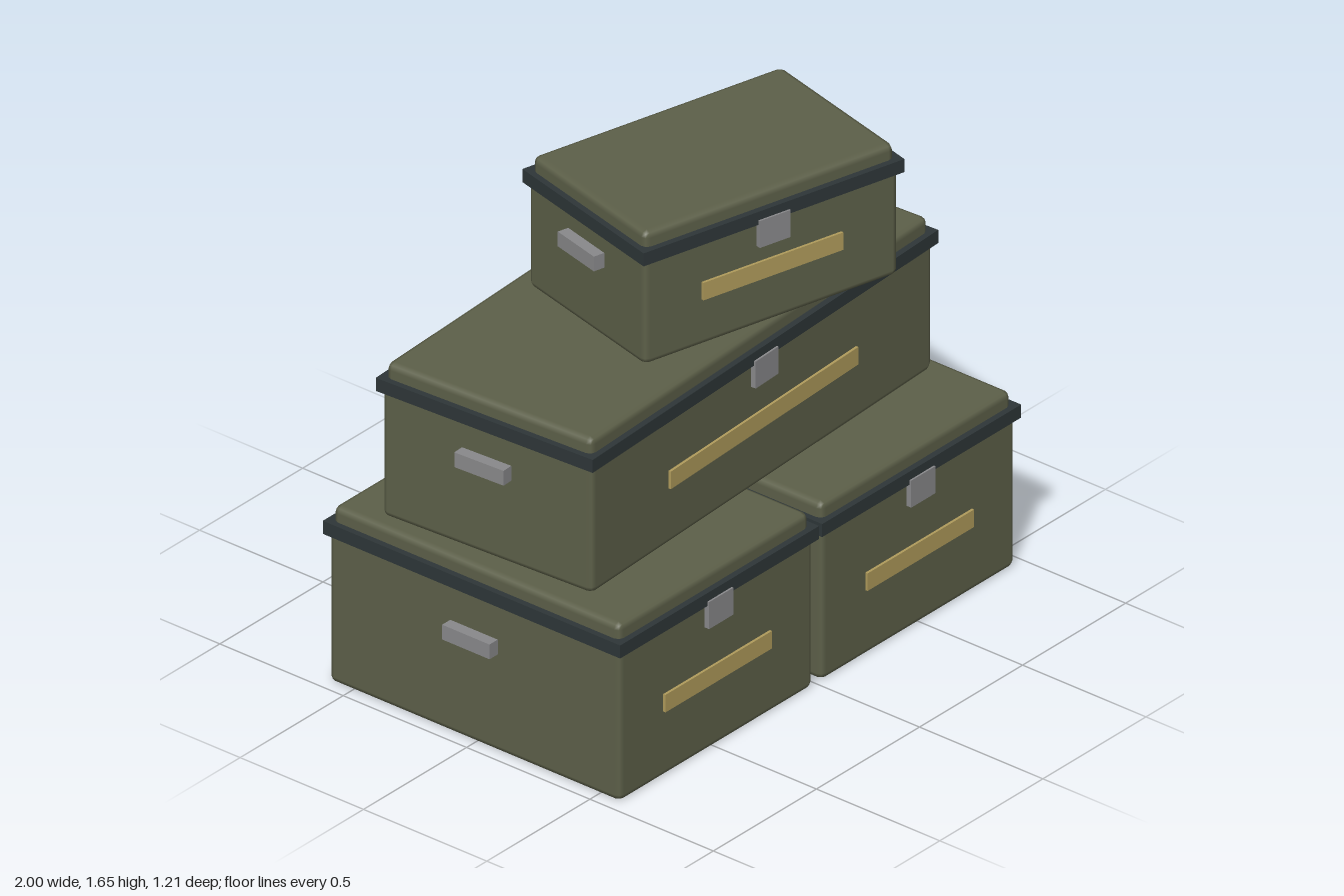
import * as THREE from 'three';
import { RoundedBoxGeometry } from 'three/addons/geometries/RoundedBoxGeometry.js';

const flat = (name, color) => {
  const m = new THREE.MeshStandardMaterial({ color });
  m.name = name;
  return m;
};

export function createModel() {
  const olive = flat('olive', 0x5d6049);
  const seal = flat('dark seal', 0x2e3638);
  const metal = flat('grey metal', 0x89898b);
  const tan = flat('tan label', 0xb09b5b);

  // One storage crate standing on y = 0 of its own group
  function crate(name, w, h, d) {
    const g = new THREE.Group();
    g.name = name;
    const add = (part, geometry, material, x, y, z) => {
      const m = new THREE.Mesh(geometry, material);
      m.name = part;
      m.position.set(x, y, z);
      g.add(m);
    };
    const bandY = h - 0.076;

    // Body with softened edges, running up behind the seal
    add('body', new RoundedBoxGeometry(w, bandY, d, 1, 0.022), olive, 0, bandY / 2, 0);
    // Lid, slightly inset, starting behind the seal
    add('lid', new RoundedBoxGeometry(w - 0.018, 0.1, d - 0.018, 1, 0.022), olive, 0, h - 0.05, 0);
    // Sharp-edged seal around the rim
    add('seal', new THREE.BoxGeometry(w + 0.025, 0.047, d + 0.025), seal, 0, bandY, 0);
    // Front latch and label
    add('latch', new THREE.BoxGeometry(0.118, 0.097, 0.03), metal, 0, h - 0.1315, d / 2 + 0.004);
    add('label', new THREE.BoxGeometry(w * 0.55, 0.063, 0.009), tan, 0, h * 0.424, d / 2 + 0.0045);
    // Side handles
    for (const s of [-1, 1]) {
      const part = s > 0 ? 'leftHandle' : 'rightHandle';
      add(part, new THREE.BoxGeometry(0.045, 0.053, 0.192), metal, s * (w / 2 + 0.0175), h * 0.6, 0);
    }
    return g;
  }

  // name, width, height, depth, x, y, z, turn
  const stack = [
    ['lowerRightCrate', 0.94, 0.63, 1.18, -0.49, 0, -0.003, 0],
    ['lowerLeftCrate', 0.94, 0.63, 1.18, 0.49, 0, -0.003, 0],
    ['middleCrate', 1.76, 0.55, 0.82, -0.002, 0.63, -0.062, 0.05],
    ['topCrate', 0.975, 0.47, 0.62, 0.154, 1.18, 0.036, -0.25],
  ];

  const model = new THREE.Group();
  model.name = 'crateStack';
  for (const [name, w, h, d, x, y, z, turn] of stack) {
    const c = crate(name, w, h, d);
    c.position.set(x, y, z);
    c.rotation.y = turn;
    model.add(c);
  }
  return model;
}
